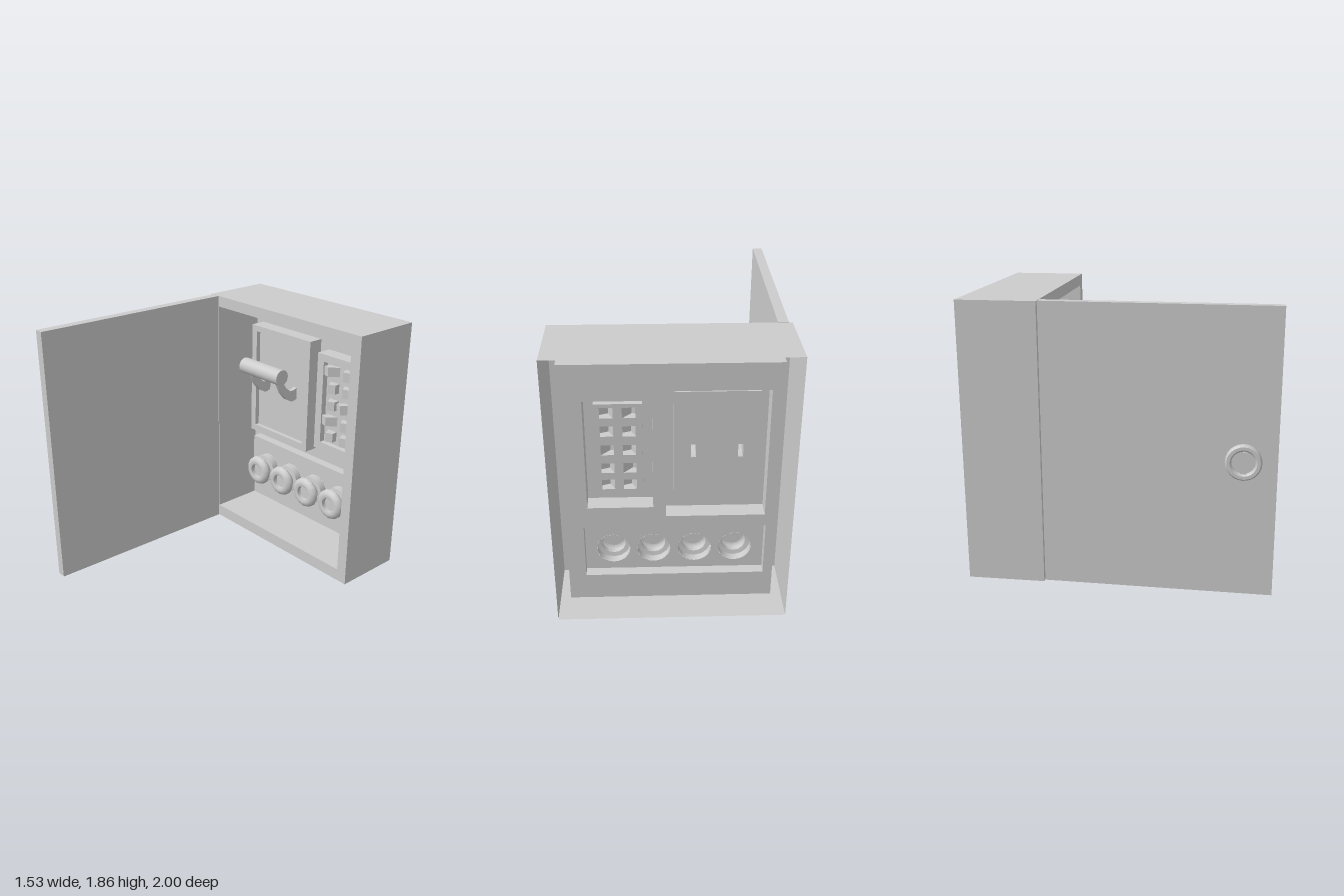
import * as THREE from 'three';
import { toCreasedNormals } from 'three/addons/utils/BufferGeometryUtils.js';

const material = new THREE.MeshStandardMaterial({ color: 0xcccccc, side: THREE.DoubleSide });

function add(parent, name, geometry) {
  const mesh = new THREE.Mesh(geometry, material);
  mesh.name = name;
  parent.add(mesh);
  return mesh;
}

// Rectangular cross-section [x0, x1, y0, y1] at depth z (z may differ at the top edge)
const ring = ([x0, x1, y0, y1], z, zTop = z) => [[x0, y0, z], [x1, y0, z], [x1, y1, zTop], [x0, y1, zTop]];

// Thin sheet joining successive four-cornered rings, optionally capped at the last
function loft(rings, cap = false) {
  const pos = [];
  const quad = (a, b, c, d) => pos.push(...a, ...b, ...c, ...a, ...c, ...d);
  for (let r = 0; r < rings.length - 1; r++) {
    for (let i = 0; i < 4; i++) {
      const j = (i + 1) % 4;
      quad(rings[r][i], rings[r][j], rings[r + 1][j], rings[r + 1][i]);
    }
  }
  if (cap) quad(...rings[rings.length - 1]);
  const g = new THREE.BufferGeometry();
  g.setAttribute('position', new THREE.Float32BufferAttribute(pos, 3));
  g.computeVertexNormals();
  return g;
}

function rectPath([x0, x1, y0, y1], Type = THREE.Path) {
  return new Type([[x0, y0], [x1, y0], [x1, y1], [x0, y1]].map(([x, y]) => new THREE.Vector2(x, y)));
}

// Flat plate with holes
function plate(rect, z, holes) {
  const shape = rectPath(rect, THREE.Shape);
  shape.holes.push(...holes);
  return new THREE.ShapeGeometry(shape, 12).translate(0, 0, z);
}

function lathe(points, segments) {
  const g = new THREE.LatheGeometry(points.map(([r, y]) => new THREE.Vector2(r, y)), segments);
  return toCreasedNormals(g, 0.7);
}

export function createModel() {
  const model = new THREE.Group();
  model.name = 'electricalCabinet';

  // Open-backed cabinet shell with front rim and inner walls
  const outer = [-0.73, 0.76, 0, 1.86];
  const opening = [-0.64, 0.68, 0.09, 1.78];
  const panelZ = -0.89;
  add(model, 'cabinetShell', loft([ring(outer, -1), ring(outer, -0.49), ring(opening, -0.49), ring(opening, panelZ)]));

  // Inner panel, open behind each raised section
  const switchFrame = [-0.57, 0.05, 0.73, 1.605];
  const breakerFrame = [0.13, 0.54, 0.8, 1.545];
  const fuseFrame = [-0.58, 0.57, 0.275, 0.65];
  add(model, 'innerPanel', plate(opening, panelZ, [switchFrame, breakerFrame, fuseFrame].map((r) => rectPath(r))));

  // Main switch section
  const switchFace = [-0.52, 0, 0.78, 1.56];
  const switchZ = -0.81;
  const mainSwitch = new THREE.Group();
  mainSwitch.name = 'mainSwitch';
  model.add(mainSwitch);
  add(mainSwitch, 'switchFrame', loft([
    ring(switchFrame, panelZ), ring(switchFrame, -0.775), ring(switchFace, -0.775), ring(switchFace, switchZ),
  ]));
  const armHoles = [];
  for (const x of [-0.41, -0.12]) {
    const a = x - 0.016, b = x + 0.016;
    armHoles.push(rectPath([a, b, 1.11, 1.2]));
    // Curved arm rising from the plate to the grip
    add(mainSwitch, 'handleArm', toCreasedNormals(loft([
      ring([a, b, 1.11, 1.2], switchZ),
      ring([a, b, 1.1, 1.19], -0.76, -0.775),
      ring([a, b, 1.13, 1.19], -0.705, -0.74),
      ring([a, b, 1.19, 1.22], -0.65, -0.7),
      ring([a, b, 1.3, 1.3], -0.595, -0.64),
    ], true), 0.8));
  }
  add(mainSwitch, 'switchPlate', plate(switchFace, switchZ, armHoles));
  add(mainSwitch, 'handleGrip', new THREE.CylinderGeometry(0.06, 0.06, 0.405, 24).rotateZ(Math.PI / 2))
    .position.set(-0.268, 1.335, -0.61);

  // Breaker section with two columns of toggles, a few flipped over
  const breakerFace = [0.19, 0.48, 0.86, 1.49];
  const breakerZ = -0.82;
  const breakers = new THREE.Group();
  breakers.name = 'breakers';
  model.add(breakers);
  add(breakers, 'breakerFrame', loft([
    ring(breakerFrame, panelZ), ring(breakerFrame, -0.775), ring(breakerFace, -0.775), ring(breakerFace, breakerZ),
  ]));
  const toggleHoles = [];
  const flipped = [[true, false], [false, false], [false, true], [true, false], [false, false]];
  [1.43, 1.305, 1.175, 1.047, 0.928].forEach((y, row) => {
    [0.265, 0.4].forEach((x, column) => {
      const base = [x - 0.035, x + 0.045, y - 0.035, y + 0.035];
      const lean = flipped[row][column] ? -1 : 1;
      const left = lean < 0 ? x - 0.065 : x - 0.005;
      const tip = [left, left + 0.052, y - 0.035, y + 0.035];
      toggleHoles.push(rectPath(base));
      const top = ring(tip, -0.755);
      // Tilted end of the toggle
      for (const i of lean < 0 ? [0, 3] : [1, 2]) top[i][2] -= 0.02;
      add(breakers, 'breakerToggle', loft([ring(base, breakerZ), top], true));
    });
  });
  add(breakers, 'breakerPlate', plate(breakerFace, breakerZ, toggleHoles));

  // Fuse section with four hollow screw caps
  const fuseZ = -0.82;
  const fuses = new THREE.Group();
  fuses.name = 'fuses';
  model.add(fuses);
  add(fuses, 'fuseFrame', loft([ring(fuseFrame, panelZ), ring(fuseFrame, fuseZ)]));
  const fuseHoles = [];
  const fuseProfile = [
    [0.108, 0], [0.108, 0.055], [0.078, 0.06], [0.078, 0.085], [0.104, 0.09], [0.118, 0.108],
    [0.114, 0.128], [0.095, 0.145], [0.075, 0.15], [0.057, 0.145], [0.057, 0.11], [0, 0.11],
  ];
  for (const x of [-0.395, -0.135, 0.13, 0.39]) {
    fuseHoles.push(new THREE.Path().absarc(x, 0.435, 0.108, 0, Math.PI * 2, true));
    add(fuses, 'fuseCap', lathe(fuseProfile, 14).rotateX(Math.PI / 2)).position.set(x, 0.435, fuseZ);
  }
  add(fuses, 'fusePlate', plate(fuseFrame, fuseZ, fuseHoles));

  // Door standing open on the hinge side
  const door = new THREE.Group();
  door.name = 'door';
  door.position.set(-0.675, 0, -0.487);
  door.rotation.y = -0.0145;
  model.add(door);
  add(door, 'doorLeaf', new THREE.BoxGeometry(0.066, 1.86, 1.487).translate(0, 0.93, 0.7435));

  // Round latch on the outside of the door
  const latch = new THREE.Group();
  latch.name = 'doorLatch';
  latch.position.set(-0.033, 0.895, 1.277);
  door.add(latch);
  add(latch, 'latchRing', lathe([
    [0.115, 0], [0.115, 0.026], [0.105, 0.037], [0.085, 0.037], [0.075, 0.028], [0.075, 0.006], [0, 0.006],
  ], 24).rotateZ(Math.PI / 2));
  add(latch, 'latchBar', new THREE.BoxGeometry(0.024, 0.142, 0.04)).position.x = -0.016;

  return model;
}
